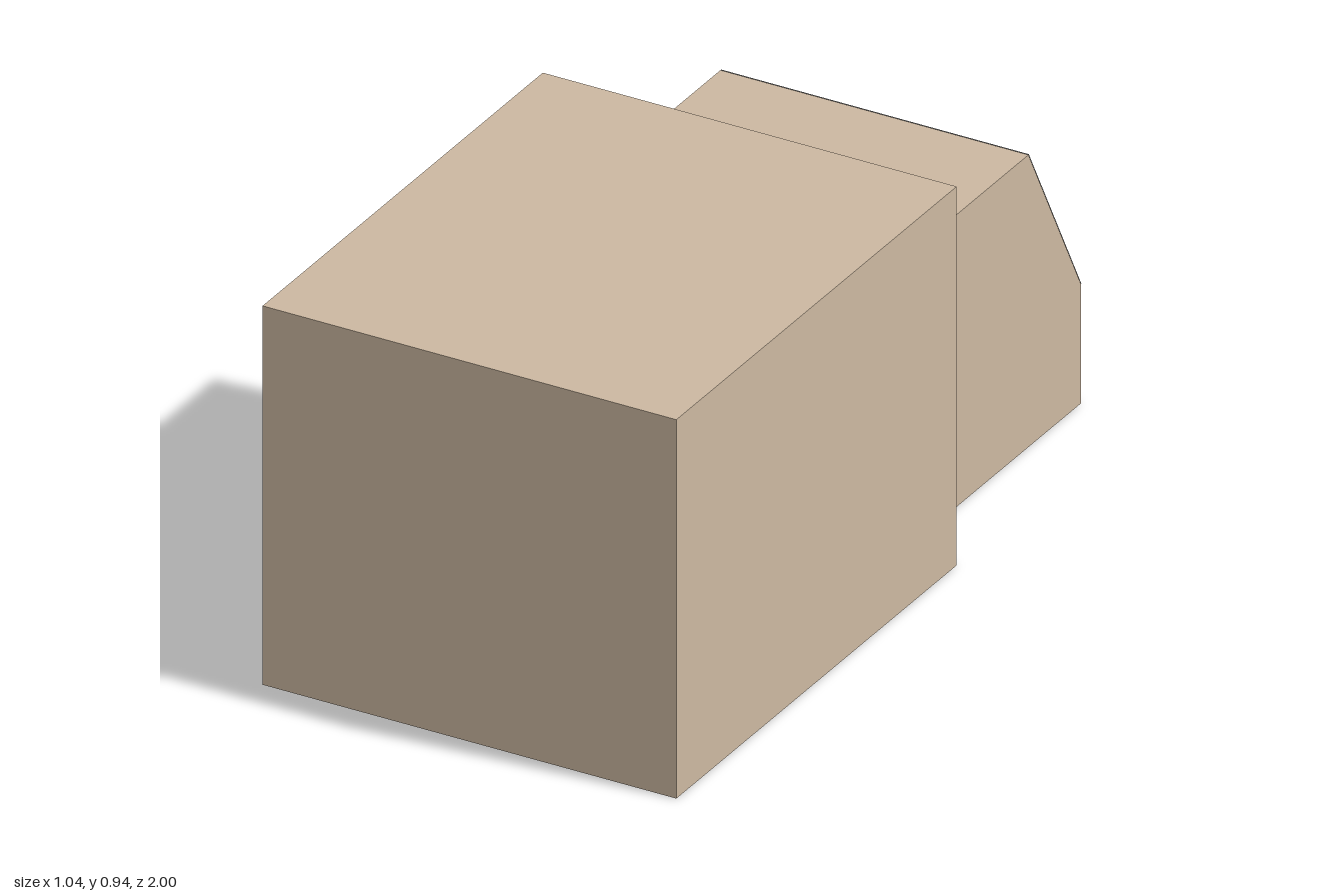
import * as THREE from 'three';

const BODY = { width: 1.04, height: 0.94, front: 1, back: -0.225 };
const CAB = { width: 0.774, height: 0.725, sill: 0.295, roofEnd: -0.77, back: -1 };

function addPart(group, name, geometry, material) {
  const mesh = new THREE.Mesh(geometry, material);
  mesh.name = name;
  group.add(mesh);
  return mesh;
}

export function createModel() {
  const model = new THREE.Group();
  model.name = 'boxTruck';
  const paint = new THREE.MeshStandardMaterial({ color: 0xccb8a1, flatShading: true });
  const glass = new THREE.MeshStandardMaterial({ color: 0xcccccc, side: THREE.DoubleSide });

  // Cargo box
  const length = BODY.front - BODY.back;
  const cargo = addPart(model, 'cargoBox', new THREE.BoxGeometry(BODY.width, BODY.height, length), paint);
  cargo.position.set(0, BODY.height / 2, (BODY.front + BODY.back) / 2);

  // Cab: side profile drawn with x = -z, extruded across the width
  const profile = new THREE.Shape([
    [-BODY.back, 0],
    [-CAB.back, 0],
    [-CAB.back, CAB.sill],
    [-CAB.roofEnd, CAB.height],
    [-BODY.back, CAB.height],
  ].map(([x, y]) => new THREE.Vector2(x, y)));
  const cabGeometry = new THREE.ExtrudeGeometry(profile, { depth: CAB.width, bevelEnabled: false });
  cabGeometry.rotateY(Math.PI / 2).translate(-CAB.width / 2, 0, 0);
  addPart(model, 'cab', cabGeometry, paint);

  // Windshield pane lying just proud of the sloped cab face
  const rise = CAB.height - CAB.sill;
  const run = CAB.roofEnd - CAB.back;
  const normal = new THREE.Vector3(0, run, -rise).normalize();
  const pane = new THREE.PlaneGeometry(CAB.width, Math.hypot(rise, run));
  const windshield = addPart(model, 'windshield', pane, glass);
  windshield.position.set(0, (CAB.height + CAB.sill) / 2, (CAB.roofEnd + CAB.back) / 2);
  windshield.position.addScaledVector(normal, 0.002);
  windshield.lookAt(windshield.position.clone().add(normal));

  return model;
}
